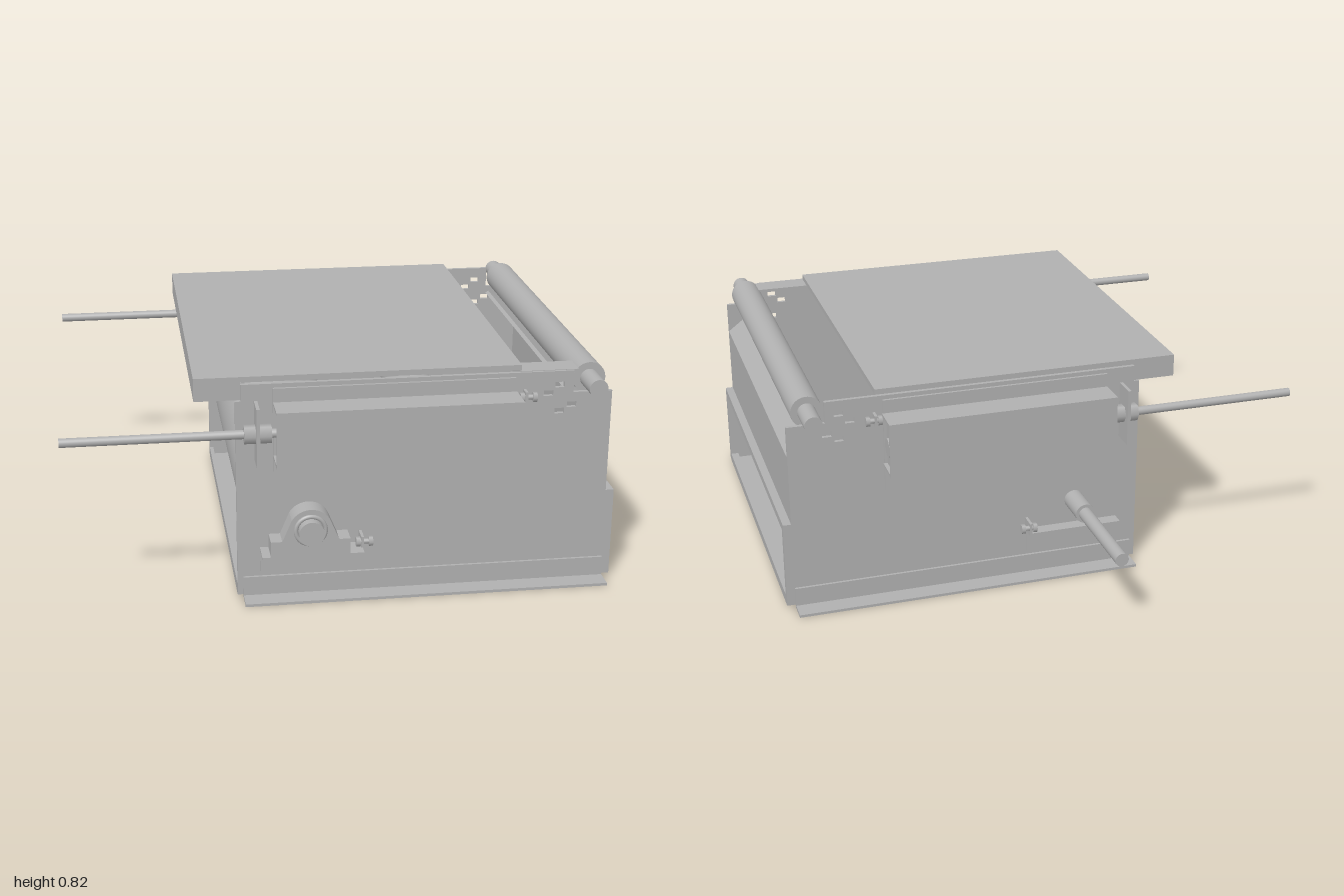
import * as THREE from 'three';

export function createModel() {
  const model = new THREE.Group();
  const grey = new THREE.MeshStandardMaterial({ color: 0xb0b0b0 });
  grey.name = 'machine grey';

  function add(name, geometry, parent = model) {
    const mesh = new THREE.Mesh(geometry, grey);
    mesh.name = name;
    parent.add(mesh);
    return mesh;
  }
  // Box given by its limits on each axis
  function box(name, x0, x1, y0, y1, z0, z1, parent) {
    const g = new THREE.BoxGeometry(x1 - x0, y1 - y0, z1 - z0);
    g.translate((x0 + x1) / 2, (y0 + y1) / 2, (z0 + z1) / 2);
    return add(name, g, parent);
  }
  // Cylinders along z and along x
  function cylZ(name, x, y, r, z0, z1, parent, sides = 48) {
    const g = new THREE.CylinderGeometry(r, r, z1 - z0, sides);
    g.rotateX(Math.PI / 2).translate(x, y, (z0 + z1) / 2);
    return add(name, g, parent);
  }
  function cylX(name, y, z, r, x0, x1, parent, sides = 24) {
    const g = new THREE.CylinderGeometry(r, r, x1 - x0, sides);
    g.rotateZ(Math.PI / 2).translate((x0 + x1) / 2, y, z);
    return add(name, g, parent);
  }
  // Outline in x, y pushed along z
  function extrude(name, shape, z0, z1, parent) {
    const g = new THREE.ExtrudeGeometry(shape, { depth: z1 - z0, bevelEnabled: false, curveSegments: 24 });
    g.translate(0, 0, z0);
    return add(name, g, parent);
  }
  const polygon = (pts) => new THREE.Shape(pts.map(([x, y]) => new THREE.Vector2(x, y)));
  const rectHole = (x, y, w, h) => new THREE.Path([
    [x - w / 2, y - h / 2], [x - w / 2, y + h / 2], [x + w / 2, y + h / 2], [x + w / 2, y - h / 2],
  ].map(([a, b]) => new THREE.Vector2(a, b)));

  // Side plates with their small slots
  const plate = polygon([[-0.38, 0.01], [0.98, 0.01], [0.98, 0.34], [0.95, 0.34], [0.95, 0.72],
    [0.81, 0.72], [0.81, 0.8], [-0.36, 0.8], [-0.36, 0.74], [-0.38, 0.74]]);
  for (const [x, y] of [[0.72, 0.72], [0.76, 0.75], [0.805, 0.675], [0.762, 0.653]]) {
    plate.holes.push(rectHole(x, y, 0.034, 0.02));
  }
  extrude('frontSidePlate', plate, 0.855, 0.87);
  extrude('backSidePlate', plate, -0.49, -0.475);
  box('frontTopFlange', 0.62, 0.83, 0.79, 0.802, 0.77, 0.86);

  // Top cover with a skirt at the overhanging end
  const cover = new THREE.Group();
  cover.name = 'topCover';
  model.add(cover);
  box('coverSheet', -0.52, 0.625, 0.803, 0.823, -0.482, 0.854, cover);
  box('coverEndSkirt', -0.52, -0.508, 0.74, 0.803, -0.482, 0.854, cover);
  box('coverFrontSkirt', -0.508, -0.36, 0.74, 0.803, 0.842, 0.854, cover);
  box('coverBackSkirt', -0.508, -0.36, 0.74, 0.803, -0.482, -0.47, cover);

  // Right end: lower window frame, cross panel and sloping chute sheet
  const frame = new THREE.Group();
  frame.name = 'endWindowFrame';
  model.add(frame);
  box('frameTop', 0.95, 0.98, 0.31, 0.34, -0.475, 0.855, frame);
  box('frameBottom', 0.95, 0.98, 0.01, 0.04, -0.475, 0.855, frame);
  box('frameFrontPost', 0.95, 0.98, 0.04, 0.31, 0.84, 0.855, frame);
  box('frameBackPost', 0.95, 0.98, 0.04, 0.31, -0.475, -0.46, frame);
  box('crossPanel', 0.938, 0.95, 0.34, 0.6, -0.475, 0.855);
  extrude('chuteSheet', polygon([[0.938, 0.595], [0.95, 0.603], [0.822, 0.7], [0.81, 0.692]]), -0.475, 0.855);

  // Bottom flanges and open left end
  box('rightBottomFlange', 0.88, 0.98, 0.005, 0.015, -0.475, 0.855);
  box('leftBottomFlange', -0.38, -0.29, 0.005, 0.015, -0.475, 0.855);
  box('leftSill', -0.38, -0.365, 0.01, 0.045, -0.475, 0.855);
  box('leftTopRail', -0.36, -0.345, 0.755, 0.803, -0.475, 0.855);

  // Drum and its shaft
  cylZ('drum', -0.13, 0.285, 0.22, -0.465, 0.848, model, 72);
  cylZ('drumShaft', -0.13, 0.285, 0.045, 0.85, 0.995);
  cylZ('driveShaftCollar', -0.13, 0.285, 0.037, -0.62, -0.47);
  cylZ('driveShaft', -0.13, 0.285, 0.025, -1, -0.62);

  // Top roller and inner tension roller
  cylZ('topRoller', 0.87, 0.763, 0.058, -0.47, 0.85);
  cylZ('topRollerShaft', 0.87, 0.763, 0.033, -0.6, 0.97);
  cylZ('tensionRoller', 0.3, 0.635, 0.08, -0.46, 0.84);
  cylZ('tensionRollerShaft', 0.3, 0.635, 0.03, -0.56, 0.94);

  // Pillow block bearing on the front
  const housing = new THREE.Shape();
  housing.moveTo(-0.27, 0.19);
  housing.lineTo(0.01, 0.19);
  housing.lineTo(0.01, 0.247);
  housing.lineTo(-0.03, 0.247);
  housing.lineTo(-0.063, 0.325);
  housing.absarc(-0.13, 0.285, 0.078, 0.54, Math.PI - 0.54, false);
  housing.lineTo(-0.23, 0.247);
  housing.lineTo(-0.27, 0.247);
  extrude('bearingHousing', housing, 0.885, 0.96);
  const ring = new THREE.TorusGeometry(0.052, 0.008, 8, 40);
  ring.translate(-0.13, 0.285, 0.96);
  add('bearingRing', ring);

  // Parts on both sides; d is measured outward from each plate
  for (const [label, face, s] of [['front', 0.87, 1], ['back', -0.49, -1]]) {
    const side = new THREE.Group();
    side.name = label + 'SideFittings';
    model.add(side);
    const out = (name, x0, x1, y0, y1, d0, d1) => {
      const a = face + s * d0, b = face + s * d1;
      return box(name, x0, x1, y0, y1, Math.min(a, b), Math.max(a, b), side);
    };
    const rod = (name, y, d, r, x0, x1, sides) => cylX(name, y, face + s * d, r, x0, x1, side, sides);

    // Floor angle
    out('floorAngleUpright', -0.36, 0.95, 0, 0.08, 0, 0.01);
    out('floorAngleFoot', -0.36, 0.95, 0, 0.01, 0.01, 0.083);

    // Guard channel, open at its ends, round the tension block
    out('guardBackSheet', -0.25, 0.6, 0.43, 0.785, 0, 0.01);
    out('guardTop', -0.25, 0.605, 0.725, 0.735, 0.01, 0.12);
    out('guardFace', -0.25, 0.605, 0.53, 0.725, 0.11, 0.12);
    out('guardBottom', -0.25, 0.605, 0.53, 0.54, 0.01, 0.12);
    out('tensionBlock', -0.15, 0.59, 0.54, 0.725, 0.01, 0.11);
    rod('blockBushing', 0.625, 0.065, 0.035, 0.59, 0.602);

    // Tension rod, end plate and nuts
    rod('tensionRod', 0.635, 0.04, 0.016, -0.98, -0.15);
    out('rodEndPlate', -0.315, -0.303, 0.525, 0.74, 0, 0.09);
    rod('outerNut', 0.635, 0.04, 0.034, -0.355, -0.315, 6);
    rod('innerNut', 0.635, 0.04, 0.034, -0.303, -0.26, 6);

    // Bearing shelf
    out('shelfUpright', -0.3, 0.06, 0.1, 0.19, 0, 0.01);
    out('shelfTop', -0.3, 0.06, 0.18, 0.19, 0.01, s > 0 ? 0.09 : 0.05);

    // Adjusting screws
    for (const [x, y] of [[0.61, 0.72], [0.035, 0.215]]) {
      const d = y > 0.5 ? 0.03 : 0.05;
      rod('screwStem', y, d, 0.009, x, x + 0.05, 16);
      rod('screwHead', y, d, 0.018, x + 0.045, x + 0.06, 6);
      rod('screwNut', y, d, 0.018, x, x + 0.015, 6);
      out('screwLug', x + 0.018, x + 0.028, y - 0.02, y + 0.02, 0, d + 0.01);
    }
  }
  return model;
}
